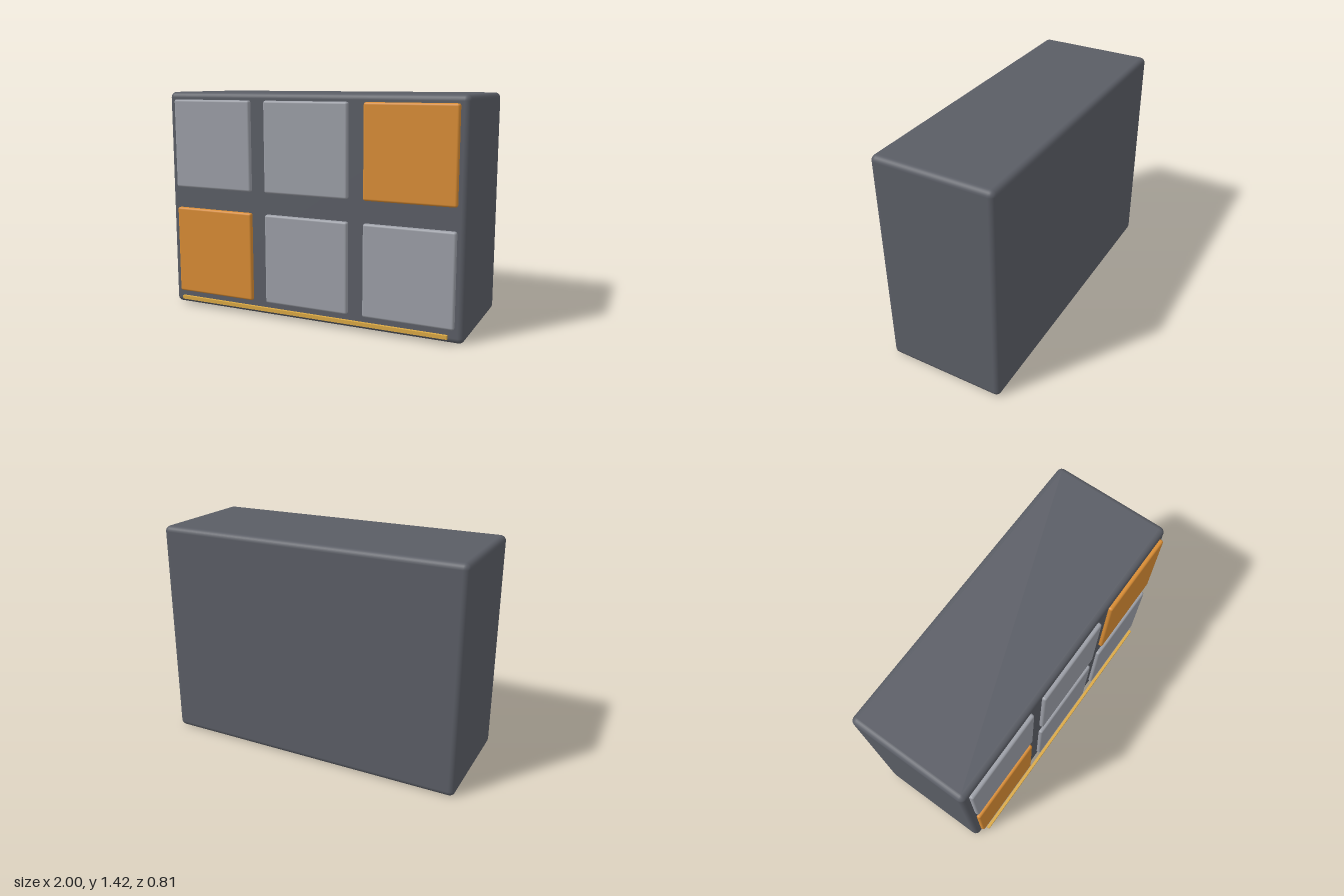
import * as THREE from 'three';
import { RoundedBoxGeometry } from 'three/addons/geometries/RoundedBoxGeometry.js';

const material = (color) => new THREE.MeshStandardMaterial({ color });

export function createModel() {
  const model = new THREE.Group();
  model.name = 'lockerCabinet';
  const bodyMat = material(0x5a5d65);
  const greyMat = material(0x9b9ea6);
  const orangeMat = material(0xd88c34);
  const stripMat = material(0xdaa844);

  const add = (name, geometry, mat, x, y, z) => {
    const mesh = new THREE.Mesh(geometry, mat);
    mesh.name = name;
    mesh.position.set(x, y, z);
    model.add(mesh);
  };

  // Cabinet body with softly rounded edges
  add('body', new RoundedBoxGeometry(2, 1.417, 0.764, 3, 0.035), bodyMat, 0, 0.7085, -0.021);

  // Two rows of three doors, two of them orange
  const door = new RoundedBoxGeometry(0.565, 0.572, 0.048, 3, 0.014);
  const rows = [
    { name: 'lower', y: 0.374, orange: 0 },
    { name: 'upper', y: 1.083, orange: 2 },
  ];
  for (const row of rows) {
    for (let col = 0; col < 3; col++) {
      const mat = col === row.orange ? orangeMat : greyMat;
      add(`${row.name}Door${col + 1}`, door, mat, (col - 1) * 0.665, row.y, 0.362);
    }
  }

  // Thin trim strip in front of the bottom edge
  add('trimStrip', new THREE.BoxGeometry(1.83, 0.023, 0.019), stripMat, 0, 0.049, 0.3945);

  return model;
}
